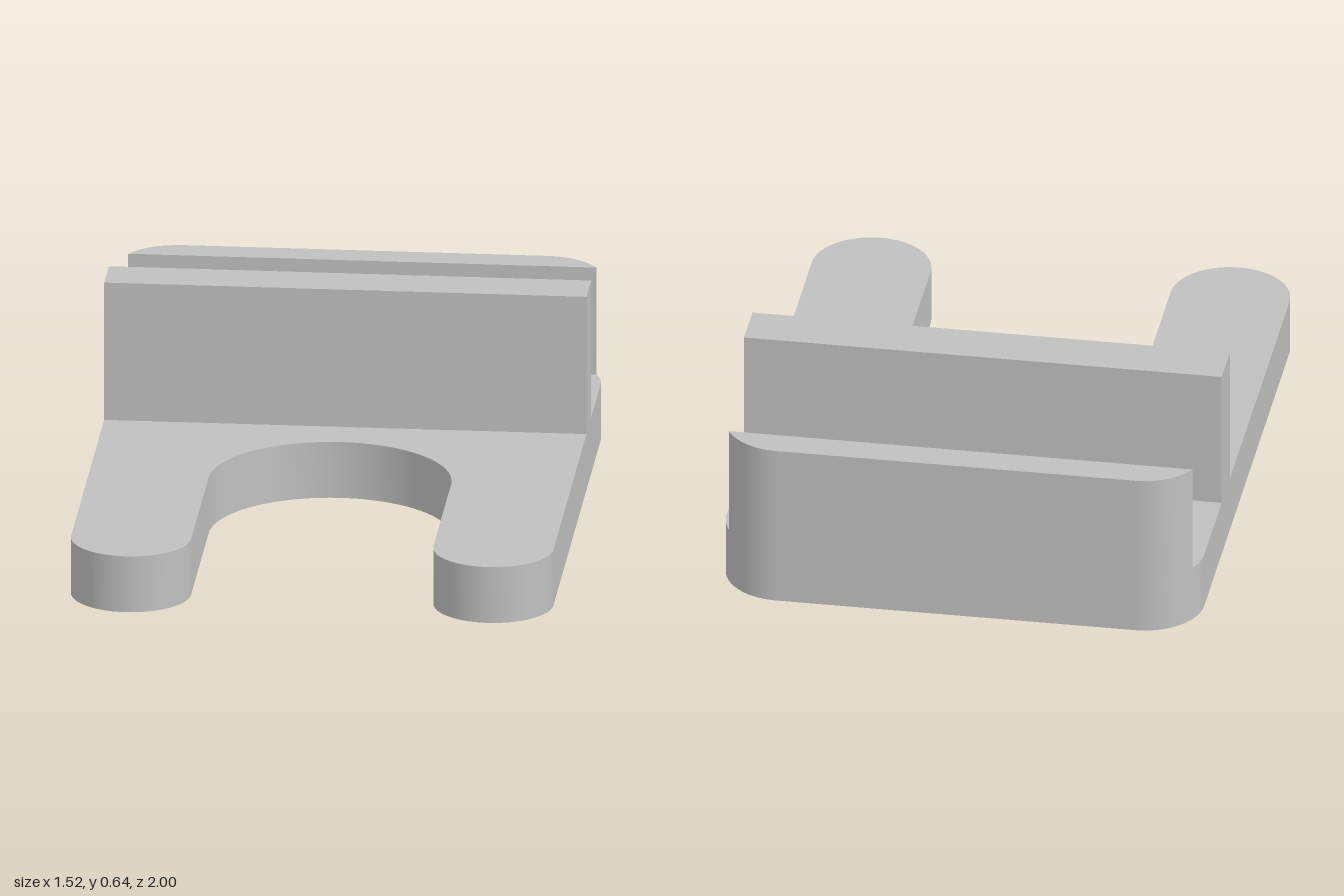
import * as THREE from 'three';
import { toCreasedNormals } from 'three/addons/utils/BufferGeometryUtils.js';

const HALF_W = 0.76;   // half width of the plate
const SLOT_R = 0.382;  // half width of the slot
const R = (HALF_W - SLOT_R) / 2; // prong tip and rear corner radius
const BASE_H = 0.185;

export function createModel() {
  const group = new THREE.Group();
  const grey = new THREE.MeshStandardMaterial({ color: 0xc0c0c0 });
  grey.name = 'grey';

  // Extrudes a plan outline (x, -z) upward from y0 to y1
  function addPlan(name, shape, y0, y1) {
    const extruded = new THREE.ExtrudeGeometry(shape, {
      depth: y1 - y0, bevelEnabled: false, curveSegments: 32,
    });
    extruded.rotateX(-Math.PI / 2).translate(0, y0, 0);
    const mesh = new THREE.Mesh(toCreasedNormals(extruded, 0.5), grey);
    mesh.name = name;
    group.add(mesh);
  }

  // Forked base plate: rounded rear corners, round-ended slot and prongs
  const slotZ = 0.21;
  const base = new THREE.Shape();
  base.moveTo(-HALF_W, 1 - R);
  base.lineTo(-HALF_W, -1 + R);
  base.absarc(-HALF_W + R, -1 + R, R, Math.PI, Math.PI * 2, false);
  base.lineTo(-SLOT_R, -slotZ);
  base.absarc(0, -slotZ, SLOT_R, Math.PI, 0, true);
  base.lineTo(SLOT_R, -1 + R);
  base.absarc(HALF_W - R, -1 + R, R, Math.PI, Math.PI * 2, false);
  base.lineTo(HALF_W, 1 - R);
  base.absarc(HALF_W - R, 1 - R, R, 0, Math.PI / 2, false);
  base.lineTo(-HALF_W + R, 1);
  base.absarc(-HALF_W + R, 1 - R, R, Math.PI / 2, Math.PI, false);
  addPlan('forkedBase', base, 0, BASE_H);

  // Rear wall: follows the rounded corners, cut flat at its front
  const a = Math.asin((0.9 - (1 - R)) / R);
  const wall = new THREE.Shape();
  wall.absarc(HALF_W - R, 1 - R, R, a, Math.PI / 2, false);
  wall.absarc(-HALF_W + R, 1 - R, R, Math.PI / 2, Math.PI - a, false);
  wall.closePath();
  addPlan('rearWall', wall, BASE_H, 0.54);

  // Tall cross rib
  const ribH = 0.64 - BASE_H;
  const rib = new THREE.Mesh(new THREE.BoxGeometry(HALF_W * 2, ribH, 0.16), grey);
  rib.name = 'crossRib';
  rib.position.set(0, BASE_H + ribH / 2, -0.4);
  group.add(rib);

  return group;
}
